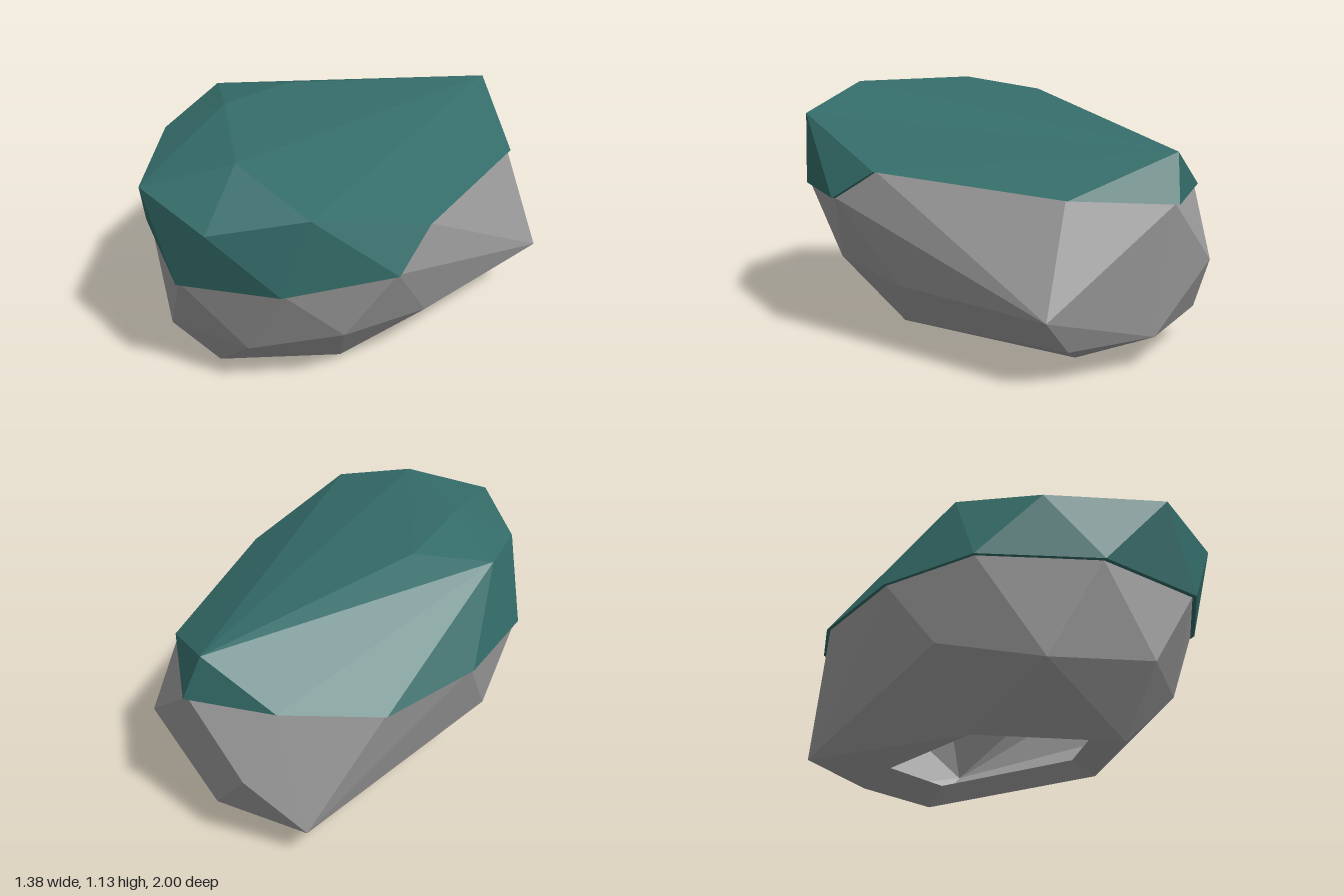
import * as THREE from 'three';
import { ConvexGeometry } from 'three/addons/geometries/ConvexGeometry.js';

const vectors = (rows) => rows.map((r) => new THREE.Vector3(...r));
const key = (x, y, z) => [x, y, z].map((n) => n.toFixed(3)).join();

function facetMesh(name, positions, color) {
  const geometry = new THREE.BufferGeometry();
  geometry.setAttribute('position', new THREE.Float32BufferAttribute(positions, 3));
  geometry.computeVertexNormals();
  const material = new THREE.MeshStandardMaterial({ color, flatShading: true, side: THREE.DoubleSide });
  const mesh = new THREE.Mesh(geometry, material);
  mesh.name = name;
  return mesh;
}

// Faceted shell over the points, left open where a face touches the rim only
function openHull(points, rim) {
  const rimKeys = new Set(rim.map((p) => key(p.x, p.y, p.z)));
  const a = new ConvexGeometry([...points, ...rim]).getAttribute('position').array;
  const out = [];
  for (let i = 0; i < a.length; i += 9) {
    const onRim = [0, 3, 6].every((k) => rimKeys.has(key(a[i + k], a[i + k + 1], a[i + k + 2])));
    if (!onRim) out.push(...a.subarray(i, i + 9));
  }
  return out;
}

// Ring moved toward its centre and lifted
function inset(ring, scale, lift) {
  const c = ring.reduce((s, p) => s.add(p), new THREE.Vector3()).divideScalar(ring.length);
  return ring.map((p) => new THREE.Vector3(
    c.x + (p.x - c.x) * scale, p.y + lift, c.z + (p.z - c.z) * scale));
}

// Band of quads between two rings of equal count, facing inward and down
function band(outer, inner) {
  const out = [];
  outer.forEach((p, i) => {
    const j = (i + 1) % outer.length;
    for (const v of [p, inner[i], outer[j], outer[j], inner[i], inner[j]]) out.push(v.x, v.y, v.z);
  });
  return out;
}

export function createModel() {
  const group = new THREE.Group();
  group.name = 'mossyBoulder';

  // Lower edge of the moss, from the front round by +x
  const mossRim = vectors([
    [0, 0.635, 1], [0.42, 0.67, 0.82], [0.69, 0.69, 0.42], [0.67, 0.825, 0.2],
    [0.5, 0.77, -0.64], [0.19, 0.74, -0.98], [-0.2, 0.75, -0.89], [-0.525, 0.675, -0.59],
    [-0.69, 0.7, -0.14], [-0.69, 0.71, 0.32], [-0.43, 0.67, 0.79],
  ]);
  // Shoulders and crown of the moss
  const mossTop = vectors([
    [0.2, 0.95, 1], [0.5, 1.015, 0.73], [0.12, 0.94, -0.935], [-0.61, 1.055, 0.17],
    [-0.53, 1, 0.56], [-0.2, 1.005, 0.98], [0.11, 1.125, 0.74], [-0.31, 1.13, 0.4],
    [-0.31, 1.09, 0],
  ]);
  const lip = inset(mossRim, 0.95, -0.004);
  group.add(facetMesh('mossCap', [...openHull(mossTop, mossRim), ...band(mossRim, lip)], 0x346c69));

  // Foot of the rock, open underneath with a turned-in edge
  const foot = vectors([
    [-0.12, 0, 0.69], [0.3, 0.04, 0.34], [0.29, 0.04, -0.57], [-0.17, 0.05, -0.67], [-0.37, 0.07, 0.1],
  ]);
  // Flanks of the rock
  const flanks = vectors([
    [-0.2, 0.28, 0.88], [0.18, 0.28, 0.79], [0.5, 0.37, 0.54], [0.6, 0.32, 0.12],
    [0.67, 0.315, -0.65], [0.51, 0.15, -0.66], [0.15, 0.15, -0.87], [-0.3, 0.16, -0.85],
    [0.41, 0.43, -0.79], [-0.1, 0.45, -1], [-0.64, 0.38, 0.1], [-0.49, 0.27, 0.54],
  ]);
  const shoulder = inset(mossRim, 0.98, 0);
  const footEdge = inset(foot, 0.78, 0.07);
  group.add(facetMesh('rock',
    [...openHull([...flanks, ...shoulder], foot), ...band(foot, footEdge)], 0x9c9b9b));

  return group;
}
